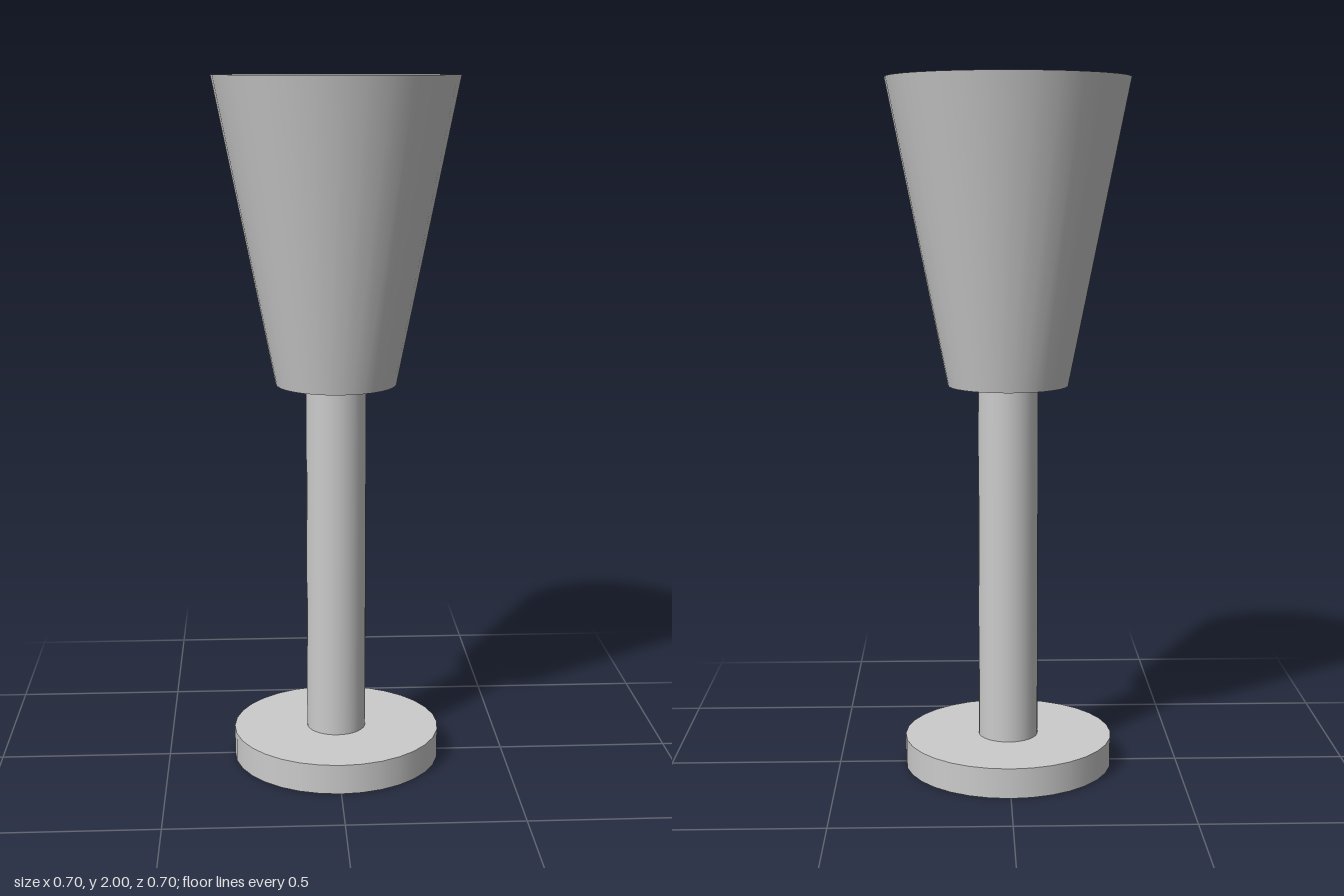
import * as THREE from 'three';

export function createModel() {
  const group = new THREE.Group();
  const material = new THREE.MeshStandardMaterial({ color: 0xcccccc });
  const u = 2 / 23; // the goblet is 23 units tall

  // Adds a solid round section between two heights, all sizes in units
  function addSection(name, topRadius, bottomRadius, y0, y1) {
    const geometry = new THREE.CylinderGeometry(topRadius * u, bottomRadius * u, (y1 - y0) * u, 32);
    const mesh = new THREE.Mesh(geometry, material);
    mesh.name = name;
    mesh.position.y = ((y0 + y1) / 2) * u;
    group.add(mesh);
  }

  addSection('base', 3.5, 3.5, 0, 1);
  addSection('stem', 1, 1, 1, 13);
  addSection('bowl', 4, 2, 13, 23);

  return group;
}
